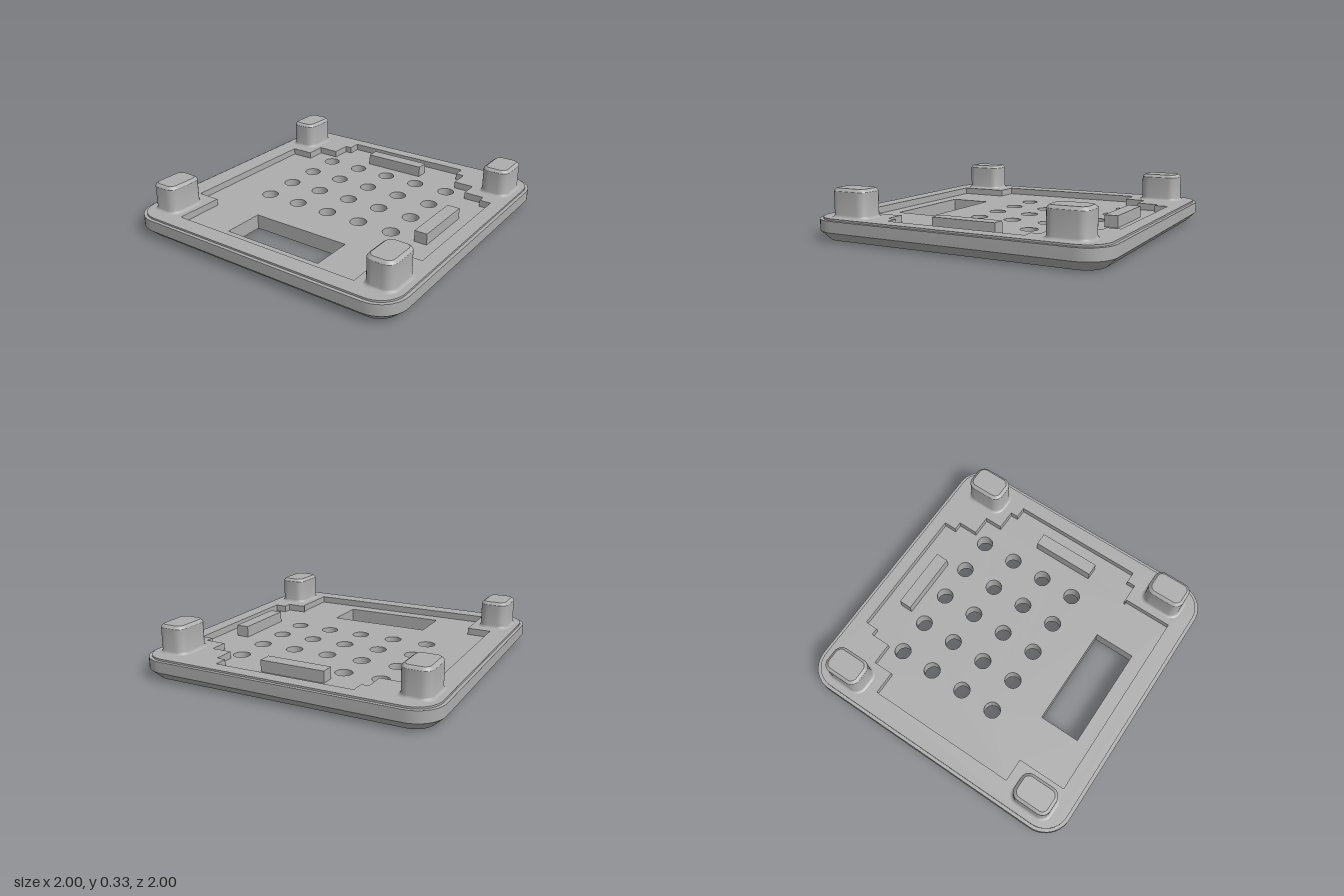
import * as THREE from 'three';
import { toCreasedNormals } from 'three/addons/utils/BufferGeometryUtils.js';

// Outlines are loops of [x, z], all running the same way round.
function roundedRect(hx, hz, r, steps = 10) {
  const pts = [];
  [[1, 1], [-1, 1], [-1, -1], [1, -1]].forEach(([sx, sz], q) => {
    for (let i = 0; i <= steps; i++) {
      const t = (q + i / steps) * Math.PI / 2;
      pts.push([sx * (hx - r) + r * Math.cos(t), sz * (hz - r) + r * Math.sin(t)]);
    }
  });
  return pts;
}

function circle(cx, cz, r, n = 32) {
  return Array.from({ length: n }, (_, i) => {
    const t = i / n * Math.PI * 2;
    return [cx + r * Math.cos(t), cz + r * Math.sin(t)];
  });
}

const rect = (x0, x1, z0, z1) => [[x0, z0], [x1, z0], [x1, z1], [x0, z1]];

// Side walls through a stack of [outline, y]; inward turns them to face inside.
function walls(sections, inward = false) {
  const pos = [];
  for (let s = 0; s < sections.length - 1; s++) {
    const [lo, y0] = sections[s], [hi, y1] = sections[s + 1];
    for (let i = 0; i < lo.length; i++) {
      const j = (i + 1) % lo.length;
      const a = [lo[i][0], y0, lo[i][1]], b = [lo[j][0], y0, lo[j][1]];
      const c = [hi[j][0], y1, hi[j][1]], d = [hi[i][0], y1, hi[i][1]];
      pos.push(...(inward ? [a, b, c, a, c, d] : [a, d, c, a, c, b]).flat());
    }
  }
  const g = new THREE.BufferGeometry();
  g.setAttribute('position', new THREE.Float32BufferAttribute(pos, 3));
  return toCreasedNormals(g, 0.5);
}

// Horizontal face with holes, facing up or down.
function flat(outline, holes, y, up = true) {
  const sign = up ? -1 : 1;
  const vecs = (pts) => pts.map(([x, z]) => new THREE.Vector2(x, sign * z));
  const shape = new THREE.Shape(vecs(outline));
  shape.holes = holes.map((h) => new THREE.Path(vecs(h)));
  return new THREE.ShapeGeometry(shape).rotateX(sign * Math.PI / 2).translate(0, y, 0);
}

export function createModel() {
  const model = new THREE.Group();
  model.name = 'ventedBaseCover';
  const grey = new THREE.MeshStandardMaterial({ color: 0xadadad });
  grey.name = 'grey plastic';
  const add = (name, geometry, parent = model) => {
    const mesh = new THREE.Mesh(geometry, grey);
    mesh.name = name;
    parent.add(mesh);
    return mesh;
  };

  const FLOOR = 0.1, STEP = 0.134, RIM = 0.146;
  const bottom = roundedRect(0.935, 0.935, 0.12);
  const outer = roundedRect(1, 1, 0.185);
  const lip = roundedRect(0.978, 0.978, 0.163);

  // Stepped recess in the top
  const pocket = [
    [-0.48, -0.89], [0.46, -0.89], [0.46, -0.8], [0.52, -0.8], [0.52, -0.66],
    [0.66, -0.66], [0.66, -0.535], [0.8, -0.535], [0.8, -0.48], [0.88, -0.48],
    [0.88, 0.46], [0.8, 0.46], [0.8, 0.52], [0.66, 0.52], [0.66, 0.53],
    [0.675, 0.53], [0.675, 0.865], [-0.68, 0.865], [-0.68, 0.53], [-0.84, 0.53],
    [-0.84, -0.52], [-0.68, -0.52], [-0.68, -0.66], [-0.53, -0.66], [-0.53, -0.8],
    [-0.48, -0.8],
  ];

  // Vent holes and the rectangular window
  const openings = [rect(-0.355, 0.355, 0.488, 0.77)];
  for (let row = 0; row < 4; row++) {
    for (let col = 0; col < 5; col++) {
      openings.push(circle(-0.5 + col * 0.25, -0.565 + row * 0.25, 0.056));
    }
  }

  // Plate shell
  add('plateSide', walls([[bottom, 0], [outer, 0.06], [outer, STEP]]));
  add('plateUnderside', flat(bottom, openings, 0, false));
  add('rimStep', flat(outer, [lip], STEP));
  add('rimLipSide', walls([[lip, STEP], [lip, RIM]]));
  add('rimTop', flat(lip, [pocket], RIM));
  add('recessWall', walls([[pocket, FLOOR], [pocket, RIM]], true));
  add('recessFloor', flat(pocket, openings, FLOOR));
  openings.forEach((o, i) =>
    add(i ? 'ventHoleWall' : 'windowWall', walls([[o, 0], [o, FLOOR]], true)));

  // Raised bars on the recess floor
  const bar = (name, w, d, x, z) =>
    add(name, new THREE.BoxGeometry(w, 0.076, d)).position.set(x, FLOOR + 0.038, z);
  bar('backBar', 0.44, 0.088, -0.01, -0.735);
  bar('leftBar', 0.088, 0.44, 0.727, -0.01);

  // Corner posts: flared foot, straight body, bevelled top
  const section = (grow, y) =>
    [roundedRect(0.095 + grow, 0.132 + grow, 0.06 + grow, 8), y];
  const profile = [
    section(0.017, RIM), section(0.009, 0.149), section(0.003, 0.155), section(0, 0.164),
    section(0, 0.313), section(-0.006, 0.322), section(-0.02, 0.332),
  ];
  const postSide = walls(profile);
  const postTop = flat(profile[6][0], [], 0.332);
  for (const sx of [-1, 1]) {
    for (const sz of [-1, 1]) {
      const post = new THREE.Group();
      post.name = `${sz > 0 ? 'front' : 'back'}${sx > 0 ? 'Left' : 'Right'}Post`;
      add('postSide', postSide, post);
      add('postTop', postTop, post);
      post.position.set(sx * 0.829, 0, sz * 0.742);
      model.add(post);
    }
  }
  return model;
}
